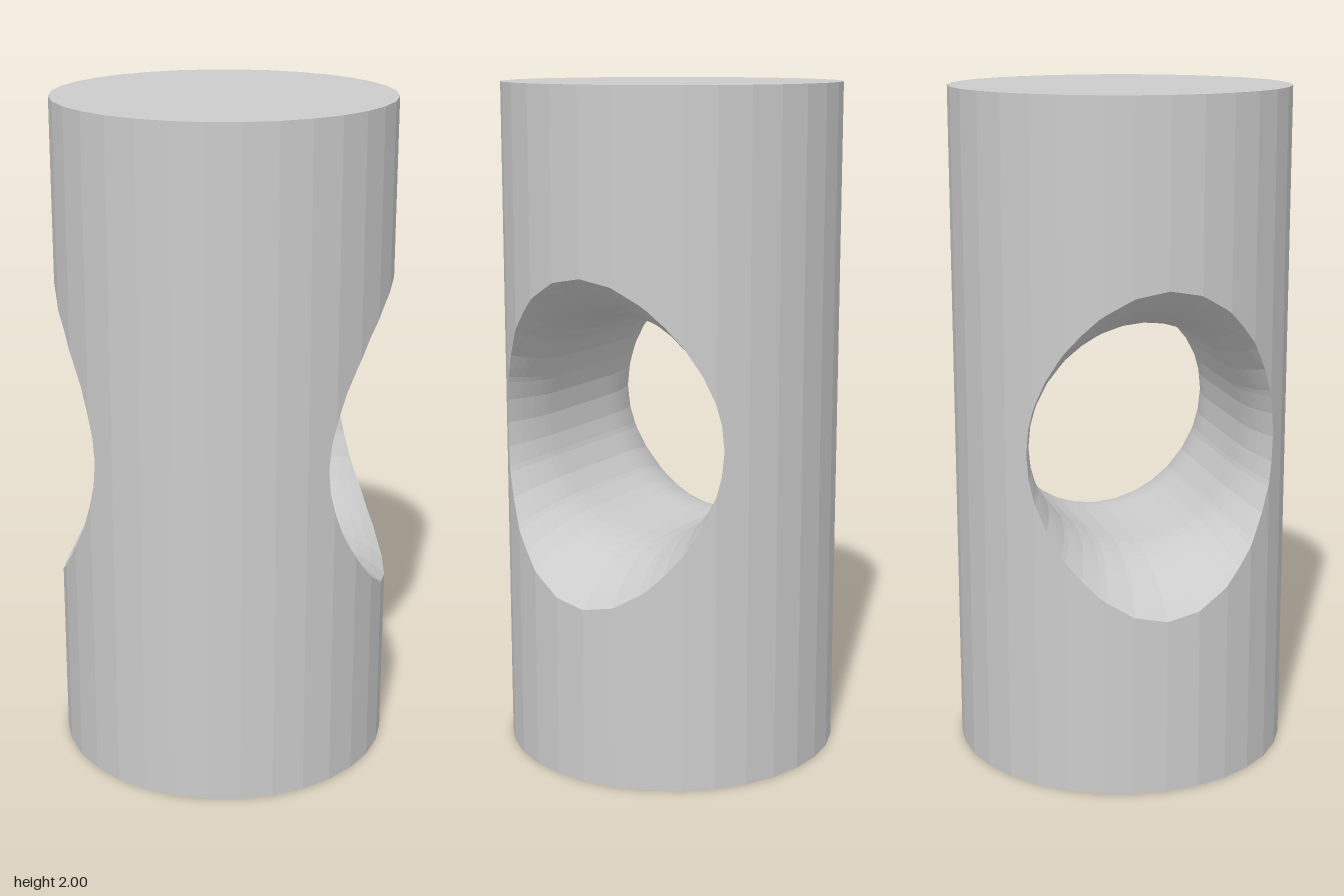
import * as THREE from 'three';

const SIDES = 32, RADIUS = 0.5, HALF = 1;      // faceted post
const BORE = 0.333, STRAIGHT = 0.15, FLARE = 0.5; // bore radius, straight half-length, flare arc radius
const STEP = (2 * Math.PI) / SIDES;

// x of the faceted post wall at depth z
function wallX(z) {
  const k = Math.min(SIDES / 4 - 1, Math.floor(Math.asin(Math.min(1, z / RADIUS)) / STEP + 1e-9));
  const z0 = RADIUS * Math.sin(k * STEP), z1 = RADIUS * Math.sin((k + 1) * STEP);
  const t = (z - z0) / (z1 - z0);
  return RADIUS * ((1 - t) * Math.cos(k * STEP) + t * Math.cos((k + 1) * STEP));
}

// radius of the bore at distance x from the middle: straight, then a rounded flare
function boreRadius(x) {
  const d = Math.max(0, x - STRAIGHT);
  return BORE + FLARE - Math.sqrt(FLARE * FLARE - d * d);
}

// depth z at which the bore, at angle phi, breaks through the wall
function rimZ(phi) {
  let lo = BORE, hi = RADIUS;
  for (let i = 0; i < 50; i++) {
    const r = (lo + hi) / 2;
    if (r < boreRadius(wallX(r * Math.cos(phi)))) lo = r; else hi = r;
  }
  return lo * Math.cos(phi);
}

// mirror the triangles of one octant into all eight, keeping faces outward
function mirroredMesh(name, triangles) {
  const positions = [];
  for (const sx of [1, -1]) for (const sy of [1, -1]) for (const sz of [1, -1]) {
    for (const [a, b, c] of triangles) {
      const corners = sx * sy * sz > 0 ? [a, b, c] : [a, c, b];
      for (const [x, y, z] of corners) positions.push(x * sx, HALF + y * sy, z * sz);
    }
  }
  const geometry = new THREE.BufferGeometry();
  geometry.setAttribute('position', new THREE.Float32BufferAttribute(positions, 3));
  geometry.computeVertexNormals();
  const mesh = new THREE.Mesh(geometry, new THREE.MeshStandardMaterial({ color: 0xcccccc, flatShading: true }));
  mesh.name = name;
  return mesh;
}

export function createModel() {
  const wall = [], caps = [], bore = [];
  const quad = (list, a, b, c, d) => list.push([a, b, c], [a, c, d]);

  // columns at the post's corners and at the bore's corners
  const zMax = rimZ(0);
  const columns = [];
  for (let k = 0; k <= SIDES / 4; k++) {
    columns.push(RADIUS * Math.sin(k * STEP));
    if (k < SIDES / 4) columns.push(rimZ(k * STEP));
  }
  columns.sort((a, b) => a - b);
  const zs = columns.filter((z, i) => i === 0 || z - columns[i - 1] > 1e-4);

  // half height of the opening at depth z
  const opening = (z) => (z >= zMax - 1e-6 ? 0 : Math.sqrt(Math.max(0, boreRadius(wallX(z)) ** 2 - z * z)));

  // point of the bore on the column at z: row 0 is the middle, the last row is the rim
  const ROWS = 9;
  const borePoint = (z, row) => {
    const rim = wallX(z), phi = Math.atan2(opening(z), z);
    const x = row === 0 ? 0 : STRAIGHT + ((rim - STRAIGHT) * (row - 1)) / (ROWS - 1);
    const r = boreRadius(x);
    return [x, r * Math.sin(phi), r * Math.cos(phi)];
  };

  for (let i = 0; i + 1 < zs.length; i++) {
    const [z0, z1] = [zs[i], zs[i + 1]];
    const [x0, x1] = [wallX(z0), wallX(z1)];
    const top0 = [x0, HALF, z0], top1 = [x1, HALF, z1];
    quad(wall, [x0, opening(z0), z0], top0, top1, [x1, opening(z1), z1]);
    caps.push([[0, HALF, 0], top1, top0]);
    if (z1 > zMax + 1e-6) continue;
    for (let row = 0; row < ROWS; row++) {
      quad(bore, borePoint(z0, row), borePoint(z0, row + 1), borePoint(z1, row + 1), borePoint(z1, row));
    }
  }

  const model = new THREE.Group();
  model.name = 'boredPost';
  model.add(mirroredMesh('postWall', wall), mirroredMesh('endCaps', caps), mirroredMesh('flaredBore', bore));
  return model;
}
